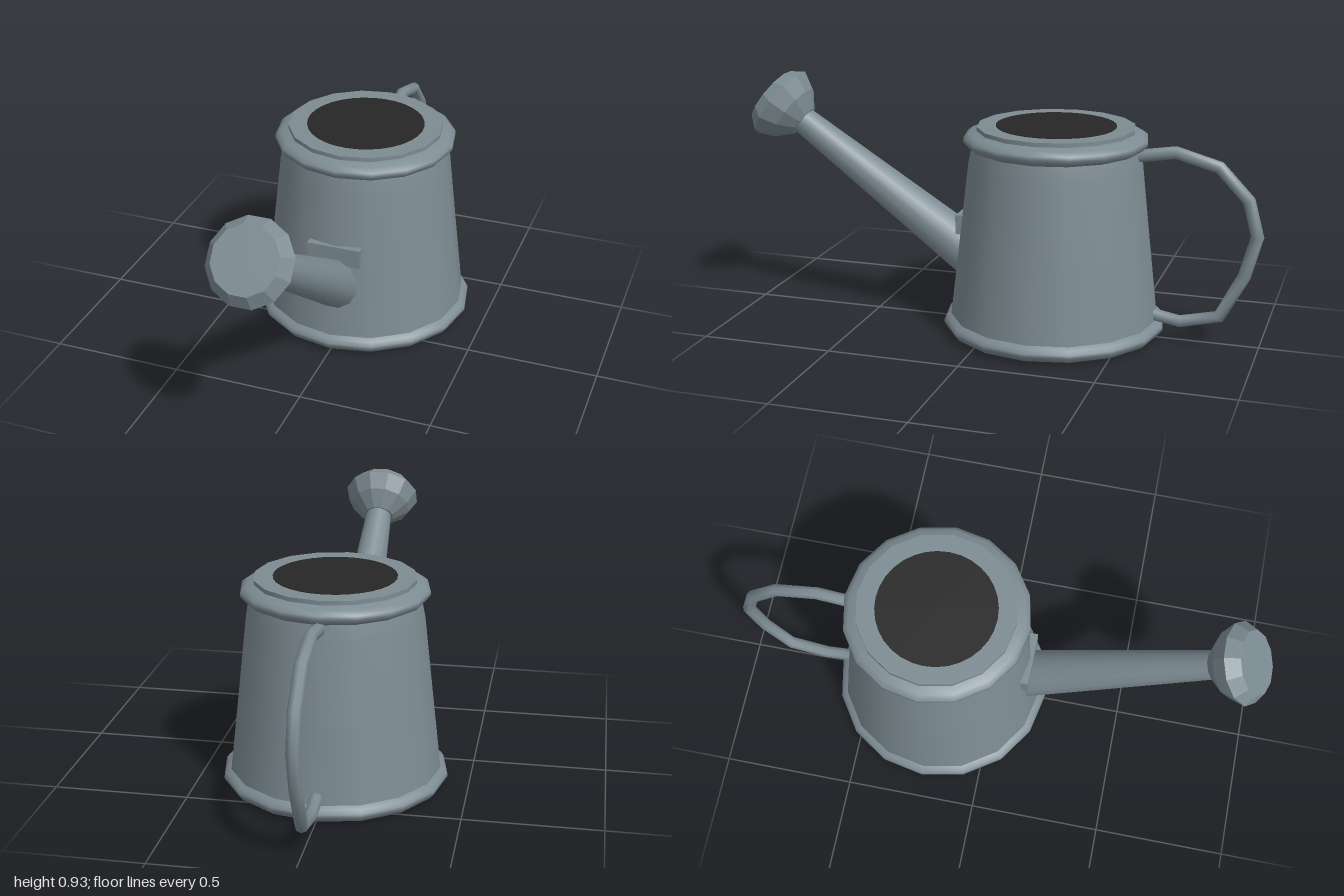
import * as THREE from 'three';

const BODY_Z = -0.22;
const metal = new THREE.MeshStandardMaterial({ name: 'blueGreyMetal', color: 0x7d8c93 });
const dark = new THREE.MeshStandardMaterial({ name: 'darkOpening', color: 0x262626 });

const lathe = (pts, sides, phase = 0) =>
  new THREE.LatheGeometry(pts.map(([r, y]) => new THREE.Vector2(r, y)), sides, phase);

// Stands a y-axis part along the line from a to b in the x = 0 plane
function alignTo(mesh, a, b) {
  mesh.quaternion.setFromUnitVectors(new THREE.Vector3(0, 1, 0), b.clone().sub(a).normalize());
  return mesh;
}

export function createModel() {
  const model = new THREE.Group();
  model.name = 'wateringCan';
  const add = (name, geometry, material = metal, parent = model) => {
    const mesh = new THREE.Mesh(geometry, material);
    mesh.name = name;
    parent.add(mesh);
    return mesh;
  };

  // Body: tapered wall with rolled rings at both ends
  const body = new THREE.Group();
  body.name = 'body';
  body.position.z = BODY_Z;
  model.add(body);
  add('wall', lathe([[0.396, 0.05], [0.361, 0.35], [0.327, 0.65], [0.313, 0.72]], 16), metal, body);
  add('baseRing', lathe([[0.375, 0], [0.405, 0.01], [0.421, 0.03], [0.42, 0.042], [0.41, 0.055], [0.393, 0.066]], 16), metal, body);
  add('bottom', lathe([[0, 0], [0.375, 0]], 16), metal, body);
  add('topRing', lathe([[0.312, 0.705], [0.333, 0.716], [0.345, 0.733], [0.344, 0.748], [0.325, 0.762], [0.293, 0.772]], 16), metal, body);
  add('collarSide', lathe([[0.295, 0.765], [0.295, 0.787]], 16), metal, body);
  add('collarTop', lathe([[0.295, 0.787], [0.21, 0.787]], 16), metal, body);
  const opening = add('opening', new THREE.CylinderGeometry(0.224, 0.224, 0.006, 32), dark, body);
  opening.position.y = 0.786;

  // Small plate behind the spout
  const plate = add('spoutPlate', new THREE.BoxGeometry(0.208, 0.074, 0.06));
  plate.position.set(0, 0.402, 0.112);

  // Tapered spout
  const base = new THREE.Vector3(0, 0.253, 0.10);
  const tip = new THREE.Vector3(0, 0.74, 0.80);
  const half = Math.PI / 12;
  const spout = add('spout', new THREE.CylinderGeometry(0.053, 0.093, base.distanceTo(tip), 12, 1, false, half));
  alignTo(spout, base, tip).position.copy(base).lerp(tip, 0.5);

  // Faceted sprinkler head
  const headGeo = lathe([[0, 0], [0.062, 0], [0.121, 0.055], [0.153, 0.118], [0.118, 0.165], [0, 0.165]], 12, half).toNonIndexed();
  headGeo.computeVertexNormals();
  const head = add('sprinklerHead', headGeo);
  head.position.set(0, 0.735, 0.80);
  head.rotation.x = Math.atan2(0.8, 0.6);

  // Handle: one straight tube section between each pair of points
  const path = new THREE.CatmullRomCurve3([
    [-0.515, 0.69], [-0.56, 0.698], [-0.67, 0.716], [-0.83, 0.672], [-0.94, 0.556], [-0.976, 0.424],
    [-0.935, 0.27], [-0.85, 0.107], [-0.705, 0.072], [-0.61, 0.088], [-0.58, 0.092],
  ].map(([z, y]) => new THREE.Vector3(0, y, z)));
  path.getPointAt = path.getPoint;
  path.getTangentAt = path.getTangent;
  add('handle', new THREE.TubeGeometry(path, path.points.length - 1, 0.024, 8));

  return model;
}
